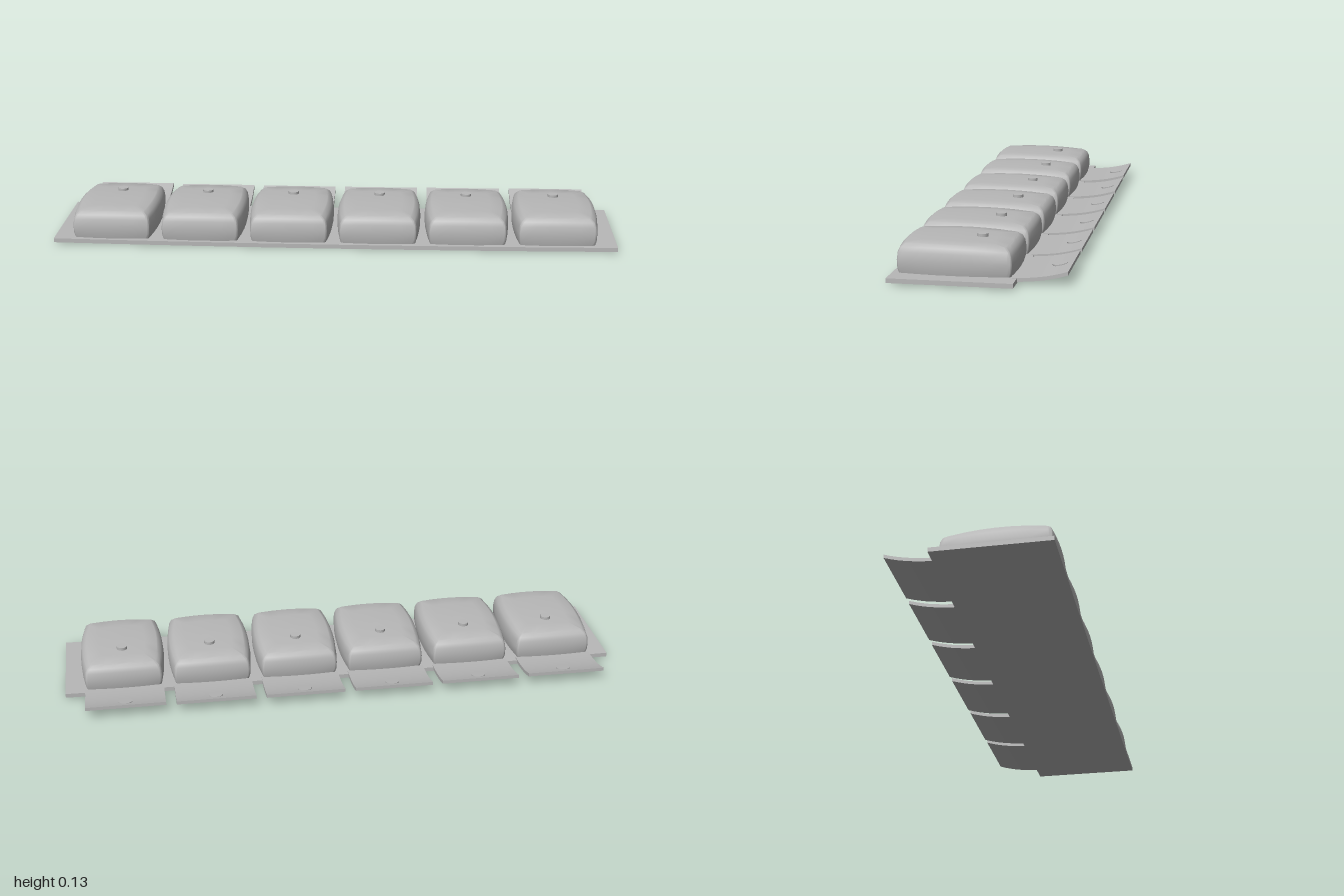
import * as THREE from 'three';
import { toCreasedNormals } from 'three/addons/utils/BufferGeometryUtils.js';

const COUNT = 6, SPACING = 0.317;
const bend = x => 0.006 * x * x;                 // the strip lifts slightly at its ends
const crownY = (x, z) => 0.117 - 0.22 * (z - 0.12) ** 2 - 0.25 * x * x;

// Move every vertex of a geometry by a rule
function reshape(geometry, rule) {
  const p = geometry.attributes.position, v = new THREE.Vector3();
  for (let i = 0; i < p.count; i++) {
    rule(v.fromBufferAttribute(p, i));
    p.setXYZ(i, v.x, v.y, v.z);
  }
  geometry.computeVertexNormals();
  return toCreasedNormals(geometry, 0.6);
}

// Barrel-shaped plan outline with small rounded corners
function pouchOutline(inset) {
  const w = 0.138 - inset, front = 0.265 - inset, back = -0.104 + inset, r = 0.014;
  const shape = new THREE.Shape();
  const mid = (front + back) / 2;
  shape.moveTo(w, back + r);
  shape.quadraticCurveTo(w + 0.026, mid, w, front - r);
  shape.quadraticCurveTo(w, front, w - r, front);
  shape.quadraticCurveTo(0, front + 0.012, -w + r, front);
  shape.quadraticCurveTo(-w, front, -w, front - r);
  shape.quadraticCurveTo(-w - 0.026, mid, -w, back + r);
  shape.quadraticCurveTo(-w, back, -w + r, back);
  shape.quadraticCurveTo(0, back - 0.012, w - r, back);
  shape.quadraticCurveTo(w, back, w, back + r);
  return shape.getPoints(6).slice(0, -1);
}

// Pouch: stacked outlines, then shrinking rings that follow the domed lid
function pouchGeometry() {
  const rings = [[0.1, 0.006], [0.3, 0.001], [0.55, 0], [0.78, 0.003], [0.92, 0.009], [1, 0.02]];
  const positions = [], index = [];
  const top = pouchOutline(0.02);
  const n = top.length;
  for (const [t, inset] of rings)
    for (const p of pouchOutline(inset)) positions.push(p.x, t * (crownY(p.x, p.y) - 0.002), p.y);
  for (const s of [0.97, 0.65, 0.33, 0.001])
    for (const p of top) {
      const x = p.x * s, z = 0.08 + (p.y - 0.08) * s;
      positions.push(x, crownY(x, z), z);
    }
  for (let r = 0; r < rings.length + 3; r++)
    for (let i = 0; i < n; i++) {
      const a = r * n + i, b = r * n + (i + 1) % n;
      index.push(a, a + n, b, b, a + n, b + n);
    }
  const g = new THREE.BufferGeometry();
  g.setAttribute('position', new THREE.Float32BufferAttribute(positions, 3));
  g.setIndex(index);
  g.computeVertexNormals();
  return toCreasedNormals(g, 0.6);
}

export function createModel() {
  const model = new THREE.Group();
  model.name = 'pouchStrip';
  const grey = new THREE.MeshStandardMaterial({ color: 0xb8b8b8 });
  grey.name = 'grey';

  const add = (name, geometry, parent, x = 0, y = 0, z = 0) => {
    const mesh = new THREE.Mesh(geometry, grey);
    mesh.name = name;
    mesh.position.set(x, y, z);
    parent.add(mesh);
    return mesh;
  };

  // Backing strip
  add('backing', reshape(new THREE.BoxGeometry(2, 0.015, 0.4, 24, 1, 1), v => {
    v.y += 0.0075 + bend(v.x);
    v.z += 0.08;
  }), model);

  // Shared parts of each pouch
  const pouch = pouchGeometry();
  const flap = reshape(new THREE.BoxGeometry(0.28, 0.012, 0.18, 1, 1, 8), v => {
    const t = Math.max(0, 0.5 - v.z / 0.18);     // 0 at the strip, 1 at the raised tip
    v.y += 0.011 + 0.006 * t + 0.022 * t ** 2.5;
    v.z -= 0.19;
  });
  const lidButton = new THREE.CylinderGeometry(0.019, 0.019, 0.014, 12);
  const flapButton = new THREE.CylinderGeometry(0.025, 0.025, 0.01, 12);

  for (let i = 0; i < COUNT; i++) {
    const x = (i - (COUNT - 1) / 2) * SPACING;
    const unit = new THREE.Group();
    unit.name = 'pouchUnit' + (i + 1);
    unit.position.set(x - 0.002, bend(x), 0);
    model.add(unit);
    add('pouch', pouch, unit);
    add('lidButton', lidButton, unit, 0, 0.117, 0.015);
    add('flap', flap, unit);
    add('flapButton', flapButton, unit, 0, 0.031, -0.235).rotation.x = 0.15;
  }
  return model;
}
